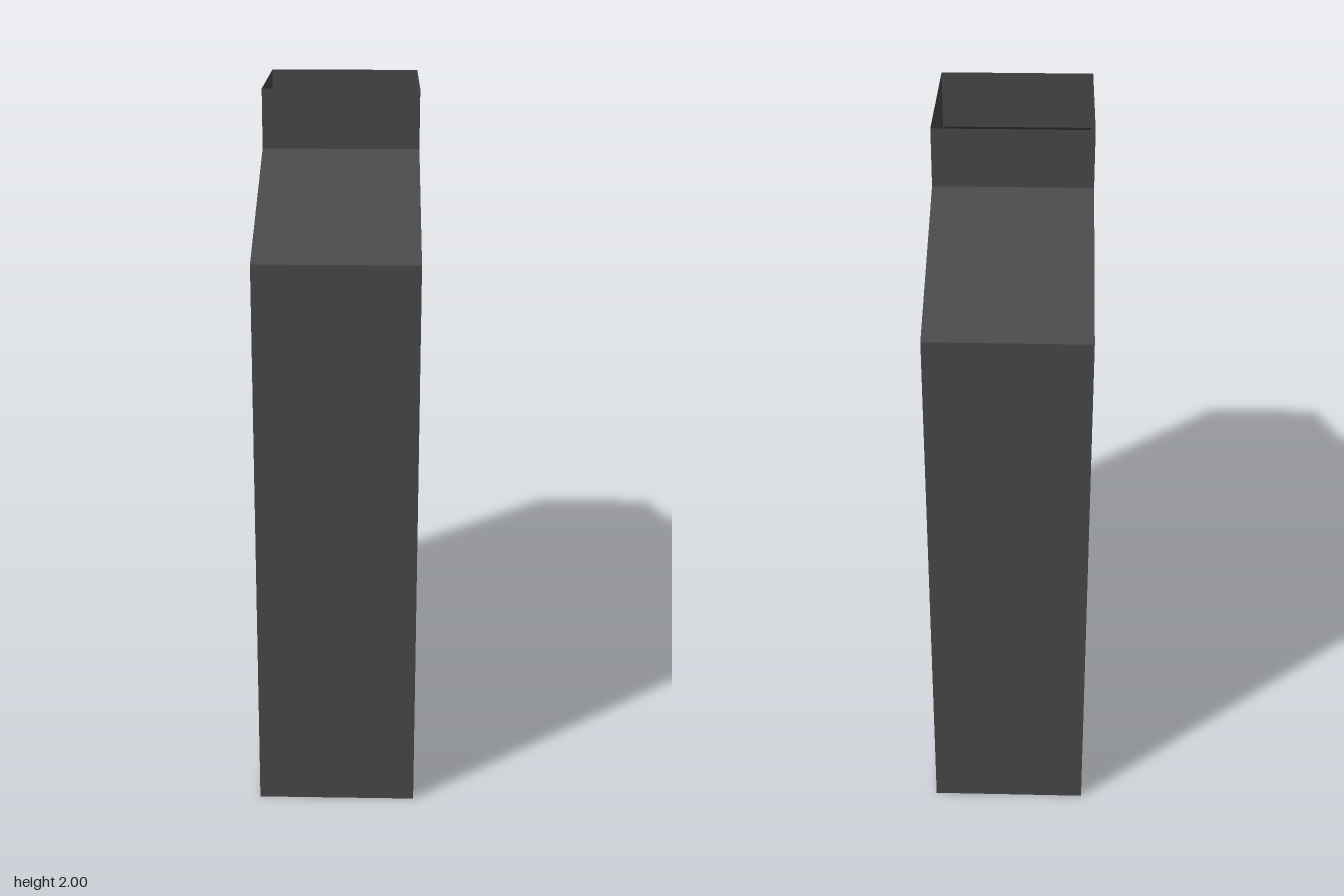
import * as THREE from 'three';

const HALF_WIDTH = 0.225;

// Half outline of the bottle as [z, y], from base centre to neck rim
const PROFILE = [[0, 0], [0.72, 0], [0.72, 1.61], [0.225, 1.83], [0.225, 2]];

export function createModel() {
  const model = new THREE.Group();
  model.name = 'bottle';
  const plastic = new THREE.MeshStandardMaterial({ color: 0x4a4a4a, side: THREE.DoubleSide });
  plastic.name = 'dark grey plastic';

  const add = (name, geometry) => {
    const mesh = new THREE.Mesh(geometry, plastic);
    mesh.name = name;
    model.add(mesh);
    return mesh;
  };

  // Flat side panels, flush from the base to the neck rim
  const outline = new THREE.Shape([
    ...PROFILE.slice(1).map(([z, y]) => new THREE.Vector2(z, y)),
    ...PROFILE.slice(1).reverse().map(([z, y]) => new THREE.Vector2(-z, y)),
  ]);
  for (const side of [-1, 1]) {
    const panel = add(side > 0 ? 'leftPanel' : 'rightPanel', new THREE.ShapeGeometry(outline));
    panel.rotation.y = side * Math.PI / 2;
    panel.position.x = side * HALF_WIDTH;
  }

  // Thin walls across the width; the neck is left open at the top
  const wall = (name, [z0, y0], [z1, y1]) => {
    const dz = z1 - z0, dy = y1 - y0;
    const geometry = new THREE.PlaneGeometry(HALF_WIDTH * 2, Math.hypot(dz, dy));
    geometry.rotateX(Math.atan2(dz, dy));
    geometry.translate(0, (y0 + y1) / 2, (z0 + z1) / 2);
    return add(name, geometry);
  };
  const names = ['Base', 'Body', 'Shoulder', 'Neck'];
  names.forEach((name, i) => {
    wall('front' + name, PROFILE[i], PROFILE[i + 1]);
    wall('back' + name, PROFILE[i], PROFILE[i + 1]).rotation.y = Math.PI;
  });

  return model;
}
